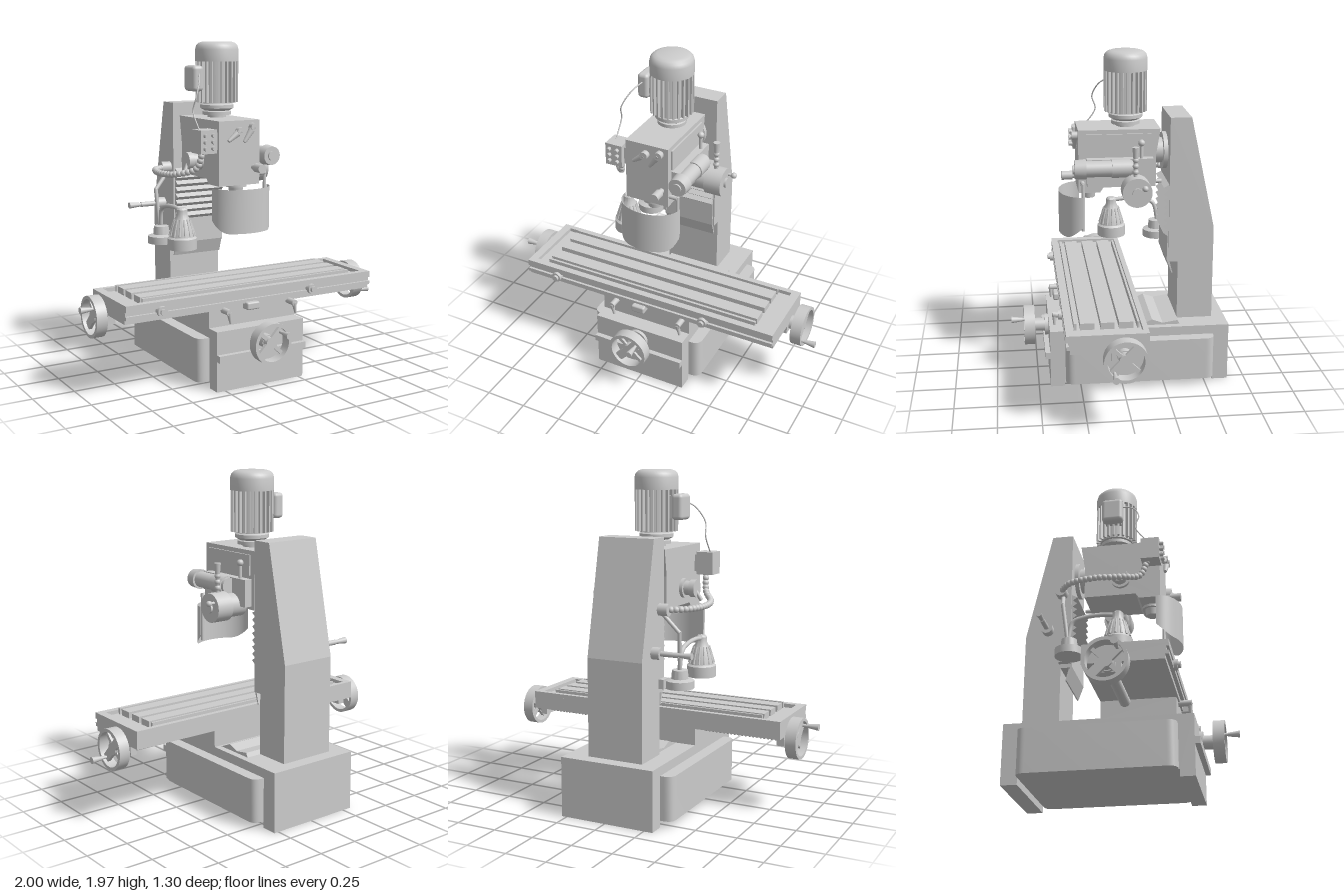
import * as THREE from 'three';
import { toCreasedNormals } from 'three/addons/utils/BufferGeometryUtils.js';
import { RoundedBoxGeometry } from 'three/addons/geometries/RoundedBoxGeometry.js';

const mat = new THREE.MeshStandardMaterial({ color: 0xcccccc });
const thin = new THREE.MeshStandardMaterial({ color: 0xcccccc, side: THREE.DoubleSide });
const V = (p) => new THREE.Vector3(...p);

export function createModel() {
  const root = new THREE.Group();
  const add = (name, geo, pos = [0, 0, 0], parent = root, m = mat) => {
    const mesh = new THREE.Mesh(geo, m);
    mesh.name = name;
    mesh.position.set(...pos);
    parent.add(mesh);
    return mesh;
  };
  // Box given by its limits on each axis
  const box = (name, x0, x1, y0, y1, z0, z1, parent = root) =>
    add(name, new THREE.BoxGeometry(x1 - x0, y1 - y0, z1 - z0), [(x0 + x1) / 2, (y0 + y1) / 2, (z0 + z1) / 2], parent);
  // Cylinder or cone between two points
  const rod = (name, a, b, r0, r1 = r0, parent = root, n = 28) => {
    const d = V(b).sub(V(a));
    const mesh = add(name, new THREE.CylinderGeometry(r1, r0, d.length(), n), V(a).add(V(b)).multiplyScalar(0.5).toArray(), parent);
    mesh.quaternion.setFromUnitVectors(new THREE.Vector3(0, 1, 0), d.normalize());
    return mesh;
  };
  const ball = (name, p, r, parent = root) => add(name, new THREE.SphereGeometry(r, 16, 12), p, parent);
  const curve = (pts) => new THREE.CatmullRomCurve3(pts.map(V));
  const pipe = (name, pts, r) => add(name, new THREE.TubeGeometry(curve(pts), 40, r, 10));
  const lathe = (pts, n = 40) =>
    toCreasedNormals(new THREE.LatheGeometry(pts.map((p) => new THREE.Vector2(...p)), n), 0.6);
  const poly = (pts) => new THREE.Shape(pts.map((p) => new THREE.Vector2(...p)));
  // Side profile of (z, y) points, extruded from x0 to x1
  const profile = (name, pts, x0, x1) => {
    const g = new THREE.ExtrudeGeometry(poly(pts), { depth: x1 - x0, bevelEnabled: false });
    return add(name, g.rotateY(-Math.PI / 2).translate(x1, 0, 0));
  };
  // Plan outline of (x, z) points, extruded from y0 to y1
  const plan = (name, shape, y0, y1) => {
    const g = new THREE.ExtrudeGeometry(shape, { depth: y1 - y0, bevelEnabled: false, curveSegments: 10 });
    return add(name, toCreasedNormals(g.rotateX(-Math.PI / 2).translate(0, y0, 0), 0.6));
  };

  // Base with two feet and rounded side tanks
  profile('base', [[0.43, 0], [0.43, 0.355], [-0.645, 0.355], [-0.645, 0], [-0.55, 0], [-0.55, 0.04], [0.345, 0.04], [0.345, 0]], -0.305, 0.28);
  const tank = new THREE.Shape();
  const [l, r, f, b, c] = [-0.38, 0.35, -0.34, 0.55, 0.055];
  tank.moveTo(l + c, f).lineTo(r - c, f).quadraticCurveTo(r, f, r, f + c).lineTo(r, b - c).quadraticCurveTo(r, b, r - c, b);
  tank.lineTo(l + c, b).quadraticCurveTo(l, b, l, b - c).lineTo(l, f + c).quadraticCurveTo(l, f, l + c, f);
  plan('sideTanks', tank, 0.04, 0.3);
  box('frontLedge', -0.305, 0.28, 0.18, 0.22, 0.43, 0.46);

  // Column, swivel and pleated way cover
  profile('column', [[-0.35, 0.355], [-0.35, 0.72], [-0.295, 0.72], [-0.295, 1.6], [-0.42, 1.6], [-0.565, 0.93], [-0.565, 0.355]], -0.2, 0.145);
  const pleats = [[-0.3, 1.2]];
  for (let i = 0; i < 8; i++) pleats.push([-0.262, 1.18 - i * 0.04], [-0.288, 1.16 - i * 0.04]);
  pleats.push([-0.285, 0.73], [-0.315, 0.645], [-0.322, 0.645], [-0.3, 0.73]);
  profile('wayCover', pleats, -0.19, 0.135);
  rod('swivelFlange', [-0.03, 1.37, -0.3], [-0.03, 1.37, -0.27], 0.11);
  rod('swivel', [-0.03, 1.37, -0.28], [-0.03, 1.37, -0.2], 0.075);
  // Draped cover behind the saddle
  profile('chipCover', [[-0.09, 0.35], [-0.12, 0.362], [-0.185, 0.39], [-0.25, 0.366], [-0.34, 0.38], [-0.355, 0.35]], -0.18, 0.24);
  rod('clampShaft', [-0.19, 0.965, -0.43], [-0.36, 0.965, -0.43], 0.015);
  rod('clampHub', [-0.2, 0.965, -0.43], [-0.25, 0.965, -0.43], 0.035);
  rod('clampGrip', [-0.36, 0.965, -0.43], [-0.44, 0.965, -0.43], 0.011, 0.019);

  // Saddle and work table with trough and slots
  box('saddle', -0.305, 0.28, 0.35, 0.46, -0.09, 0.335);
  profile('tableBody', [[-0.09, 0.455], [0.345, 0.455], [0.345, 0.48], [0.365, 0.48], [0.365, 0.502], [0.35, 0.502], [0.35, 0.525], [0.365, 0.525], [0.365, 0.54], [-0.09, 0.54]].reverse(), -0.835, 0.82);
  const rim = poly([[-0.835, 0.09], [-0.835, -0.365], [0.82, -0.365], [0.82, 0.09]]);
  rim.holes.push(poly([[-0.785, 0.06], [0.77, 0.06], [0.77, -0.325], [-0.785, -0.325]]));
  plan('tableRim', rim, 0.54, 0.563);
  for (const [z0, z1] of [[-0.05, -0.037], [-0.016, 0.064], [0.09, 0.166], [0.2, 0.28], [0.3, 0.315]])
    box('tableStrip', -0.71, 0.69, 0.535, 0.578, z0, z1);
  for (const x of [-0.62, 0.38]) {
    rod('tableStop', [x, 0.508, 0.34], [x, 0.508, 0.385], 0.03);
    rod('stopScrew', [x, 0.508, 0.38], [x, 0.508, 0.4], 0.018);
  }
  new RoundedBoxGeometry(1, 1, 1);
  add('stopBlock', new RoundedBoxGeometry(0.085, 0.045, 0.06, 2, 0.01), [-0.04, 0.465, 0.365]);
  for (const x of [-0.21, 0.235]) {
    rod('lockPivot', [x, 0.45, 0.33], [x, 0.45, 0.41], 0.018);
    rod('lockLever', [x, 0.45, 0.4], [x + 0.012, 0.385, 0.4], 0.015, 0.007);
  }
  // Threaded table screw and its end brackets
  rod('tableScrew', [-0.87, 0.44, 0.05], [0.87, 0.44, 0.05], 0.02);
  const thread = [[0, -0.82]];
  for (let i = 0; i < 70; i++) thread.push([0.024, -0.82 + i * 0.0234], [0.031, -0.808 + i * 0.0234]);
  add('screwThread', new THREE.LatheGeometry(thread.map((p) => new THREE.Vector2(...p)), 16).rotateZ(-Math.PI / 2), [0, 0.44, 0.05]);
  for (const s of [-1, 1]) {
    box('screwBracket', s > 0 ? 0.78 : -0.835, s > 0 ? 0.82 : -0.79, 0.4, 0.5, -0.02, 0.12);
    rod('screwBearing', [s * 0.8, 0.44, 0.05], [s * 0.855, 0.44, 0.05], 0.042);
  }

  // Handwheels, built facing +z and then turned
  const wheel = (name, pos, turn, hx, hy) => {
    const g = new THREE.Group();
    g.name = name;
    root.add(g);
    add('wheelRim', lathe([[0.102, 0], [0.121, 0], [0.121, 0.065], [0.102, 0.065], [0.102, 0]], 48).rotateX(Math.PI / 2), [0, 0, 0], g);
    rod('wheelHub', [0, 0, -0.03], [0, 0, 0.045], 0.036, 0.036, g);
    const bar = add('wheelSpoke', new THREE.BoxGeometry(0.21, 0.052, 0.02), [0, 0, 0.035], g);
    bar.rotation.z = Math.atan2(hy, hx);
    const cross = add('wheelCrossSpoke', new THREE.BoxGeometry(0.022, 0.21, 0.014), [0, 0, 0.025], g);
    cross.rotation.z = bar.rotation.z;
    rod('handleStem', [hx, hy, 0.03], [hx, hy, 0.09], 0.009, 0.009, g);
    rod('handleGrip', [hx, hy, 0.075], [hx, hy, 0.142], 0.011, 0.02, g);
    g.position.set(...pos);
    g.rotation.y = turn;
  };
  wheel('rightEndWheel', [0.857, 0.44, 0.05], Math.PI / 2, -0.062, -0.065);
  wheel('leftEndWheel', [-0.857, 0.44, 0.05], -Math.PI / 2, 0.062, 0.062);
  wheel('frontWheel', [-0.018, 0.28, 0.512], 0, 0.056, 0.06);
  rod('frontBearing', [-0.018, 0.28, 0.42], [-0.018, 0.28, 0.45], 0.065);
  rod('frontShaft', [-0.018, 0.28, 0.42], [-0.018, 0.28, 0.52], 0.04);

  // Head with quill and spindle
  profile('head', [[-0.245, 1.525], [-0.22, 1.37], [-0.22, 1.18], [0.09, 1.18], [0.11, 1.15], [0.237, 1.15], [0.237, 1.525]], -0.18, 0.09);
  box('sidePanel', 0.085, 0.1, 1.38, 1.5, -0.19, 0.2);
  box('feedHousing', 0.085, 0.14, 1.2, 1.36, -0.2, 0.19);
  rod('quill', [-0.03, 1.19, 0.17], [-0.03, 1.135, 0.17], 0.062);
  rod('spindle', [-0.03, 1.14, 0.17], [-0.03, 1.095, 0.17], 0.046, 0.038);
  for (const [x, y, dx, dy] of [[-0.125, 1.41, 0.075, 0.055], [-0.02, 1.4, 0.06, 0.085]]) {
    rod('speedLever', [x, y, 0.25], [x + dx, y + dy, 0.25], 0.01, 0.022);
    rod('speedPivot', [x + dx, y + dy, 0.23], [x + dx, y + dy, 0.27], 0.024);
  }
  rod('depthKnobStem', [0.05, 1.25, 0.22], [0.05, 1.25, 0.3], 0.016);
  rod('depthKnob', [0.05, 1.25, 0.27], [0.05, 1.25, 0.335], 0.026);

  // Feed drive on the right of the head
  rod('feedBarrel', [0.16, 1.312, 0.23], [0.16, 1.312, -0.08], 0.047);
  rod('barrelCollar', [0.16, 1.312, 0.05], [0.16, 1.312, -0.06], 0.054);
  rod('barrelCap', [0.16, 1.312, 0.2], [0.16, 1.312, 0.265], 0.06, 0.054);
  rod('barrelButton', [0.16, 1.312, 0.26], [0.16, 1.312, 0.275], 0.028);
  rod('feedHub', [0.09, 1.2, -0.085], [0.2, 1.2, -0.085], 0.07);
  rod('feedDial', [0.2, 1.2, -0.085], [0.305, 1.2, -0.085], 0.086);
  rod('dialCentre', [0.3, 1.2, -0.085], [0.318, 1.2, -0.085], 0.03);
  rod('dialKnobStem', [0.3, 1.235, -0.125], [0.335, 1.235, -0.125], 0.009);
  ball('dialKnob', [0.34, 1.235, -0.125], 0.018);
  rod('feedLever', [0.245, 1.26, -0.08], [0.245, 1.4, -0.08], 0.012);
  for (let i = 0; i < 3; i++) ball('leverRing', [0.245, 1.31 + i * 0.035, -0.08], 0.018);
  rod('feedGrip', [0.245, 1.39, -0.08], [0.245, 1.455, -0.08], 0.014, 0.02);
  rod('lockRod', [0.12, 1.44, -0.13], [0.12, 1.36, -0.13], 0.01);
  ball('lockKnob', [0.12, 1.45, -0.13], 0.02);
  rod('rearKnobStem', [0.05, 1.2, -0.2], [0.05, 1.2, -0.26], 0.012);

  // Motor with cooling fins
  const M = [-0.03, 0, -0.052];
  add('motorFlange', lathe([[0, 1.52], [0.055, 1.52], [0.055, 1.54], [0.085, 1.54], [0.085, 1.56], [0.075, 1.565], [0.1, 1.58], [0.1, 1.6], [0.085, 1.61], [0.085, 1.63]]), M);
  rod('motorBody', [M[0], 1.61, M[2]], [M[0], 1.87, M[2]], 0.104);
  for (let i = 0; i < 24; i++) {
    const a = (i / 24) * Math.PI * 2;
    const fin = add('motorFin', new THREE.BoxGeometry(0.04, 0.245, 0.011), [M[0] + 0.107 * Math.cos(a), 1.737, M[2] + 0.107 * Math.sin(a)]);
    fin.rotation.y = -a;
  }
  add('motorCap', lathe([[0, 1.855], [0.128, 1.855], [0.128, 1.925], [0.122, 1.947], [0.107, 1.962], [0.085, 1.969], [0, 1.97]]), M);
  add('terminalBox', new RoundedBoxGeometry(0.07, 0.15, 0.13, 3, 0.022), [-0.187, 1.757, -0.05]);
  box('terminalNeck', -0.165, -0.12, 1.69, 1.82, -0.1, -0.005);
  pipe('motorCable', [[-0.18, 1.79, 0], [-0.22, 1.75, 0.08], [-0.265, 1.66, 0.125], [-0.275, 1.58, 0.105], [-0.275, 1.47, 0.18]], 0.004);

  // Control box with buttons
  box('controlBox', -0.305, -0.2, 1.345, 1.48, 0.14, 0.25);
  box('controlBracket', -0.21, -0.175, 1.36, 1.46, 0.16, 0.22);
  for (let i = 0; i < 6; i++) {
    const [x, y] = [-0.278 + (i % 2) * 0.05, 1.375 + Math.floor(i / 2) * 0.037];
    rod('button', [x, y, 0.245], [x, y, 0.273], 0.012, 0.012, root, 14);
  }

  // Curved guard with rounded lower corners
  const guard = new THREE.CylinderGeometry(0.185, 0.185, 0.255, 48, 1, true, -Math.PI / 2, Math.PI);
  const p = guard.attributes.position;
  for (let i = 0; i < p.count; i++) {
    const d = Math.max(0, Math.abs(p.getX(i)) - 0.125) / 0.06;
    if (p.getY(i) < 0) p.setY(i, p.getY(i) + 0.07 * (1 - Math.sqrt(Math.max(0, 1 - d * d))));
    p.setZ(i, p.getZ(i) * 0.73);
  }
  guard.computeVertexNormals();
  add('guard', guard, [-0.03, 1.012, 0.215], root, thin);
  rod('guardPost', [0.14, 0.93, 0.215], [0.14, 1.22, 0.215], 0.01);
  rod('guardArm', [0.14, 1.21, 0.215], [0.08, 1.21, 0.215], 0.013);

  // Lamp, its slots, its base and arms
  const L = [-0.3, 0, 0.005];
  add('lampShade', lathe([[0.08, 0.79], [0.08, 0.76], [0.087, 0.76], [0.087, 0.825], [0.075, 0.835], [0.066, 0.88], [0.045, 0.94], [0.032, 0.965], [0.032, 0.995], [0.022, 1.005], [0, 1.005]]), L, root, thin);
  rod('lampLens', [L[0], 0.77, L[2]], [L[0], 0.79, L[2]], 0.08);
  for (let i = 0; i < 14; i++) {
    const [x, z] = [Math.cos(i * Math.PI / 7), Math.sin(i * Math.PI / 7)];
    rod('lampRib', [L[0] + 0.075 * x, 0.84, L[2] + 0.075 * z], [L[0] + 0.046 * x, 0.94, L[2] + 0.046 * z], 0.007, 0.005, root, 8);
  }
  pipe('lampArm', [[-0.3, 0.985, 0], [-0.3, 0.995, -0.08], [-0.3, 0.985, -0.2], [-0.3, 0.96, -0.26], [-0.295, 0.84, -0.29]], 0.013);
  add('lampBase', lathe([[0, 0.745], [0.082, 0.745], [0.082, 0.79], [0.05, 0.8], [0.045, 0.85], [0, 0.855]]), [-0.295, 0, -0.28]);
  box('lampBaseMount', -0.23, -0.195, 0.745, 0.8, -0.36, -0.29);
  rod('bracketBoss', [-0.19, 1.2, -0.35], [-0.26, 1.2, -0.35], 0.035);
  rod('bracketArm', [-0.22, 1.17, -0.34], [-0.31, 1.07, -0.32], 0.012);
  rod('bracketDrop', [-0.31, 1.075, -0.32], [-0.3, 0.85, -0.29], 0.012);

  // Beaded hose around the left of the head
  const hosePts = [[-0.24, 1.2, -0.35], [-0.33, 1.2, -0.28], [-0.375, 1.2, -0.12], [-0.345, 1.21, 0.03], [-0.27, 1.25, 0.13], [-0.25, 1.35, 0.17]];
  pipe('hose', hosePts, 0.012);
  for (const q of curve(hosePts).getSpacedPoints(24)) ball('hoseBead', q.toArray(), 0.019);
  for (const [x0, x1, rad] of [[-0.17, -0.2, 0.058], [-0.2, -0.235, 0.042], [-0.235, -0.27, 0.052]])
    rod('leftKnob', [x0, 1.28, 0], [x1, 1.28, 0], rad);
  rod('leftLever', [-0.25, 1.28, 0], [-0.29, 1.21, 0.02], 0.012);

  return root;
}
